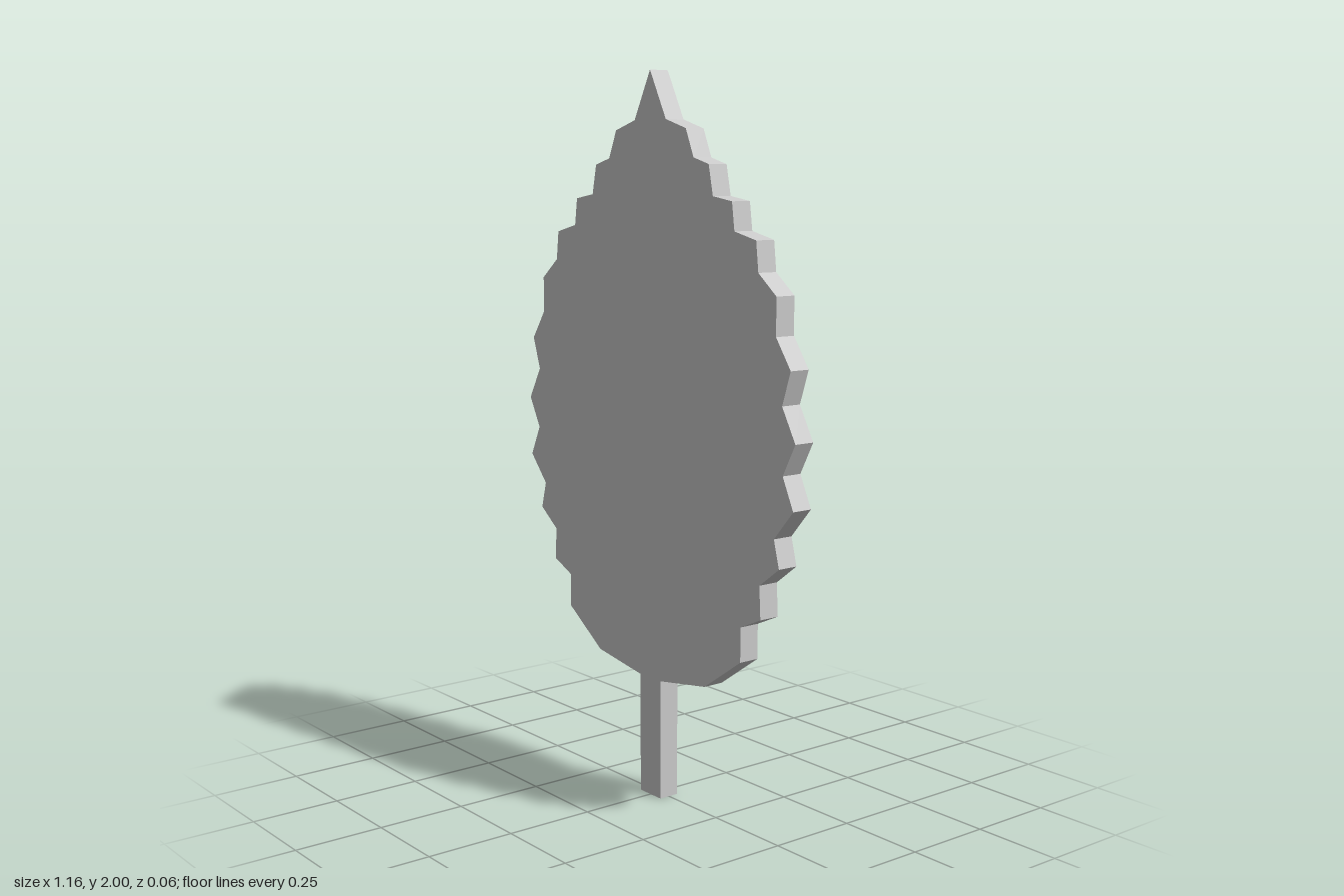
import * as THREE from 'three';

const THICKNESS = 0.06;
const BASE_Y = 0.34;
const STEM_HALF = 0.045;

// Serrated edge of one half of the blade, from stem to just below the tip
const EDGE = [
  [STEM_HALF, BASE_Y], [0.235, 0.37], [0.38, 0.47], [0.38, 0.565],
  [0.457, 0.6], [0.452, 0.69], [0.525, 0.745], [0.505, 0.82],
  [0.575, 0.9], [0.535, 0.985], [0.58, 1.07], [0.53, 1.16],
  [0.56, 1.25], [0.505, 1.33], [0.505, 1.43], [0.437, 1.485],
  [0.428, 1.565], [0.345, 1.585], [0.335, 1.66], [0.26, 1.672],
  [0.243, 1.753], [0.182, 1.77], [0.15, 1.845], [0.067, 1.87],
];
const TIP = [0, 2];

export function createModel() {
  const leaf = new THREE.Group();
  leaf.name = 'leaf';
  const material = new THREE.MeshStandardMaterial({ color: 0xcccccc, flatShading: true });

  // Flat blade: half outline, tip, then the mirrored half
  const mirrored = EDGE.map(([x, y]) => [-x, y]).reverse();
  const outline = [...EDGE, TIP, ...mirrored].map(([x, y]) => new THREE.Vector2(x, y));
  const bladeGeometry = new THREE.ExtrudeGeometry(new THREE.Shape(outline), {
    depth: THICKNESS,
    bevelEnabled: false,
  });
  bladeGeometry.translate(0, 0, -THICKNESS / 2);
  const blade = new THREE.Mesh(bladeGeometry, material);
  blade.name = 'blade';
  leaf.add(blade);

  // Straight stem
  const stem = new THREE.Mesh(new THREE.BoxGeometry(STEM_HALF * 2, BASE_Y, THICKNESS), material);
  stem.name = 'stem';
  stem.position.y = BASE_Y / 2;
  leaf.add(stem);

  return leaf;
}
